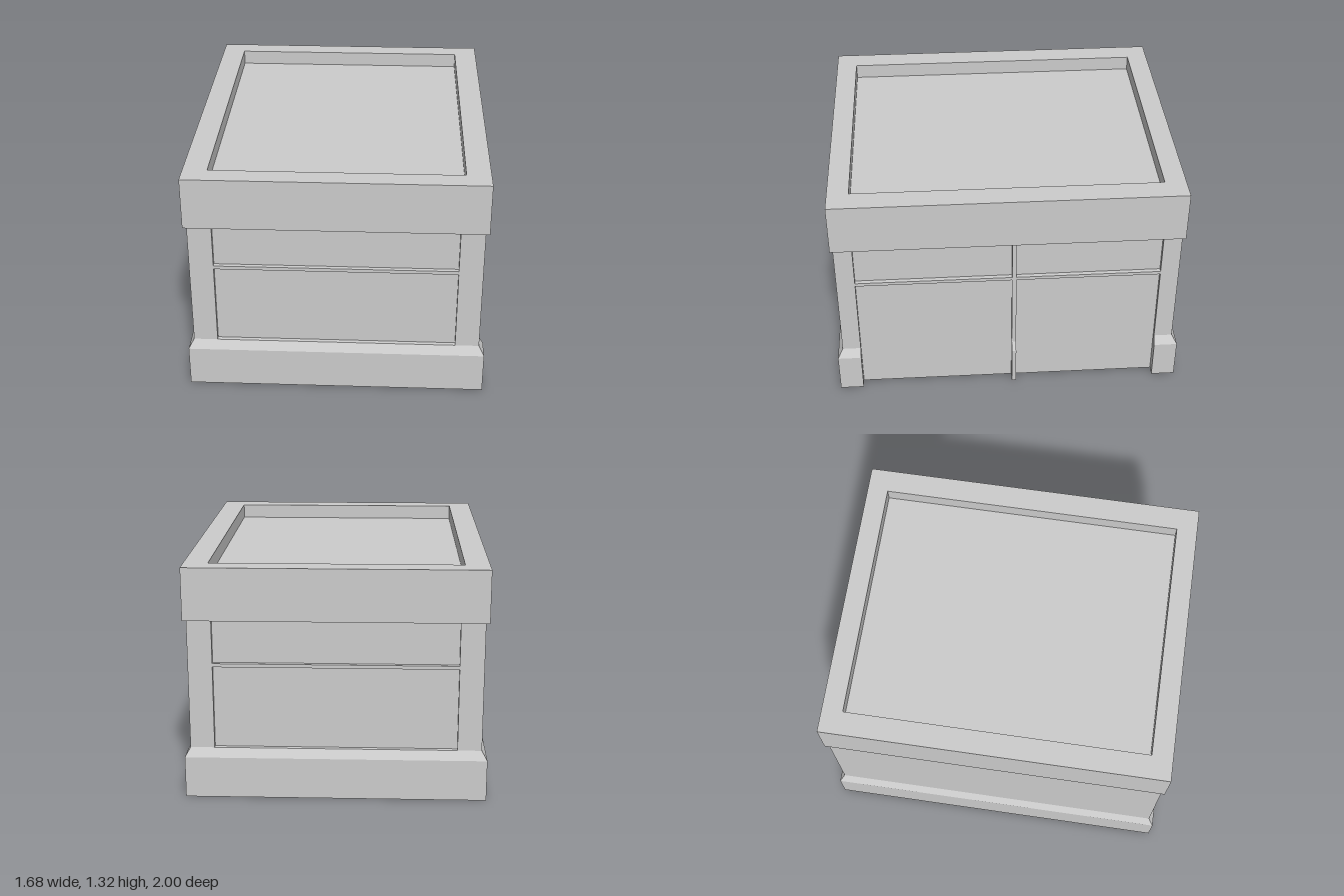
import * as THREE from 'three';

const HX = 0.81, HZ = 0.97;        // half size of the body
const BASE = 0.285, LID = 1.02, TOP = 1.315;
const RECESS = 0.025;

const grey = new THREE.MeshStandardMaterial({ color: 0xcccccc, side: THREE.DoubleSide });
grey.name = 'plainGrey';

function add(parent, geometry, name, x = 0, y = 0, z = 0) {
  const mesh = new THREE.Mesh(geometry, grey);
  mesh.name = name;
  mesh.position.set(x, y, z);
  parent.add(mesh);
  return mesh;
}

// Flat-faced sheet joining successive rows of [x, y, z] points
function loft(rows, closed) {
  const pos = [];
  for (let r = 0; r + 1 < rows.length; r++) {
    const a = rows[r], b = rows[r + 1], n = a.length;
    for (let i = 0; i < (closed ? n : n - 1); i++) {
      const j = (i + 1) % n;
      pos.push(...a[i], ...b[i], ...a[j], ...a[j], ...b[i], ...b[j]);
    }
  }
  const geometry = new THREE.BufferGeometry();
  geometry.setAttribute('position', new THREE.Float32BufferAttribute(pos, 3));
  geometry.computeVertexNormals();
  return geometry;
}

// Upright flat plate spanning u0..u1 and y0..y1 in the wall's plane
function plate(parent, name, u0, u1, y0, y1, z = 0) {
  add(parent, new THREE.PlaneGeometry(u1 - u0, y1 - y0), name, (u0 + u1) / 2, (y0 + y1) / 2, z);
}

// Sunken panel; an open one has no lower ledge
function sunkenPanel(parent, name, u0, u1, y0, y1, closed = true) {
  const edge = (z) => [[u0, y0, z], [u0, y1, z], [u1, y1, z], [u1, y0, z]];
  add(parent, loft([edge(0), edge(-RECESS)], closed), name + 'Reveal');
  plate(parent, name, u0, u1, y0, y1, -RECESS);
}

// Wall with corner posts, a rail and two rows of panels between the posts
function panelledWall(name, half, bays, lowY) {
  const wall = new THREE.Group();
  wall.name = name;
  const first = bays[0][0], last = bays[bays.length - 1][1];
  plate(wall, 'cornerPost', -half, first, BASE, LID);
  plate(wall, 'cornerPost', last, half, BASE, LID);
  bays.forEach(([u0, u1], i) => {
    sunkenPanel(wall, 'upperPanel', u0, u1, 0.775, LID);
    sunkenPanel(wall, 'lowerPanel', u0, u1, lowY, 0.755, lowY > 0);
    plate(wall, 'rail', u0, u1, 0.755, 0.775);
    if (i > 0) plate(wall, 'middlePost', bays[i - 1][1], u0, BASE, LID);
  });
  return wall;
}

export function createModel() {
  const model = new THREE.Group();
  model.name = 'panelledCabinet';

  // Base skirt with a chamfered top, left open across the doors
  const skirtRow = ([out, y]) => {
    const x = HX + out, z = HZ + out;
    return [[x, y, 0.865], [x, y, z], [-x, y, z], [-x, y, -z], [x, y, -z], [x, y, -0.865]];
  };
  add(model, loft([[0.03, 0], [0.03, 0.235], [0, BASE]].map(skirtRow), false), 'baseSkirt');

  // Skirt ends beside the doors and the foot of the middle post
  const profile = new THREE.Shape([[0, 0], [0.03, 0], [0.03, 0.235], [0, BASE]]
    .map(([x, y]) => new THREE.Vector2(x, y)));
  add(model, new THREE.ShapeGeometry(profile), 'skirtEndBack', HX, 0, -0.865);
  const frontEnd = new THREE.Group();
  frontEnd.name = 'frontSkirtEnd';
  add(frontEnd, new THREE.ShapeGeometry(profile), 'skirtEndFront', HX, 0, 0.865);
  model.add(frontEnd);
  add(model, new THREE.ExtrudeGeometry(profile, { depth: 0.025, bevelEnabled: false }),
    'middlePostFoot', HX, 0, -0.045);

  // Front and back walls
  for (const s of [1, -1]) {
    const wall = panelledWall(s > 0 ? 'frontWall' : 'backWall', HX, [[-0.675, 0.675]], BASE);
    wall.position.z = s * HZ;
    wall.rotation.y = s > 0 ? 0 : Math.PI;
    model.add(wall);
  }

  // Door side, with two bays reaching the ground
  const doors = panelledWall('doorWall', HZ, [[-0.865, 0.02], [0.045, 0.865]], 0);
  doors.position.x = HX;
  doors.rotation.y = Math.PI / 2;
  model.add(doors);

  // Plain side
  const plain = new THREE.Group();
  plain.name = 'plainWall';
  plate(plain, 'plainSide', -HZ, HZ, BASE, LID);
  plain.position.x = -HX;
  plain.rotation.y = -Math.PI / 2;
  model.add(plain);

  // Overhanging lid with a sunken top
  const lidRow = ([x, z, y]) => [[x, y, z], [-x, y, z], [-x, y, -z], [x, y, -z]];
  add(model, loft([
    [HX, HZ, LID], [0.83, 0.985, LID], [0.83, 0.985, TOP],
    [0.695, 0.865, TOP], [0.695, 0.865, 1.23],
  ].map(lidRow), true), 'lid');
  const top = add(model, new THREE.PlaneGeometry(1.39, 1.73), 'sunkenTop', 0, 1.23, 0);
  top.rotation.x = -Math.PI / 2;

  return model;
}
